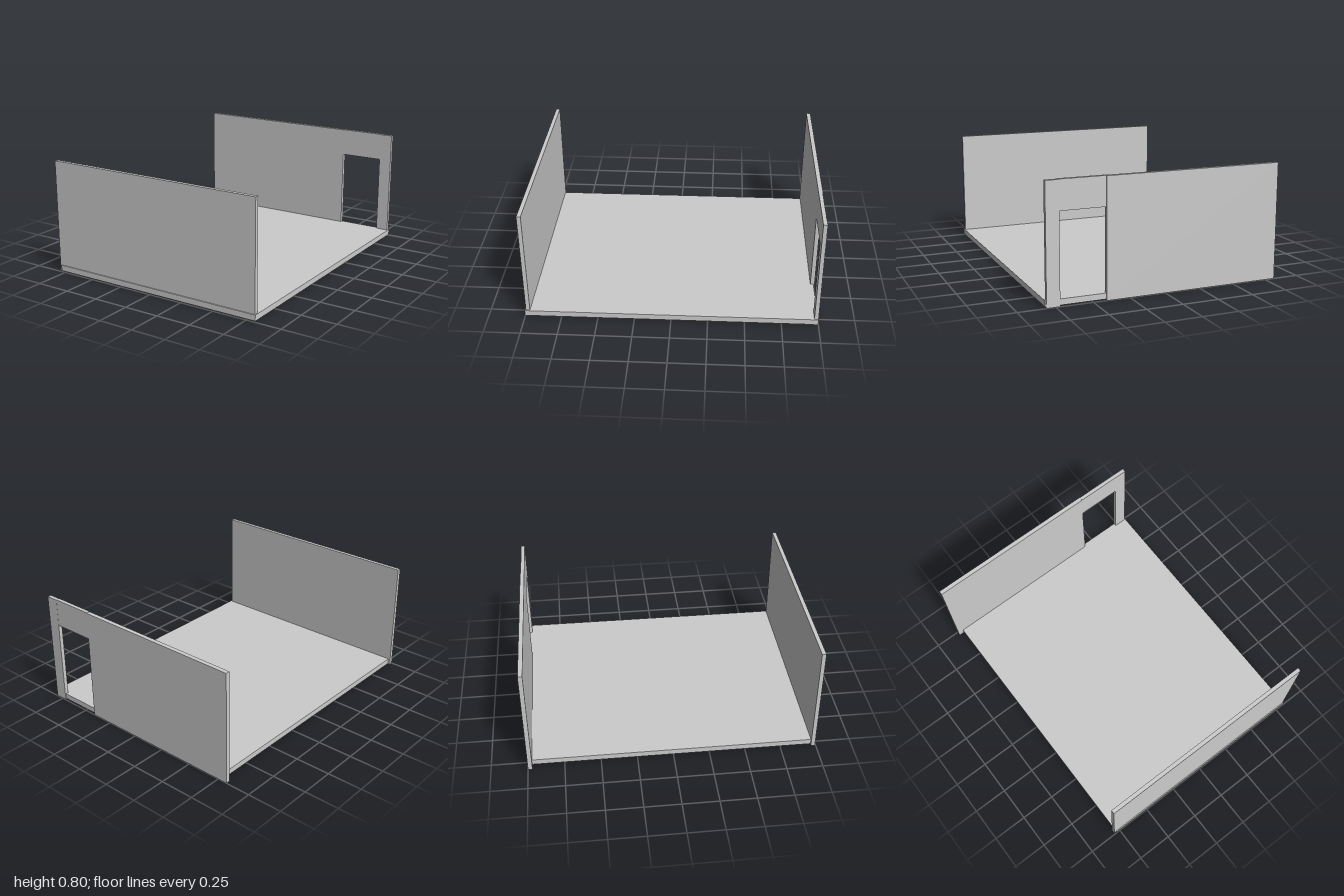
import * as THREE from 'three';

const material = new THREE.MeshStandardMaterial({ color: 0xcccccc, flatShading: true });

// Box given by its minimum and maximum corners
function block(name, [x0, y0, z0], [x1, y1, z1]) {
  const geometry = new THREE.BoxGeometry(x1 - x0, y1 - y0, z1 - z0);
  geometry.translate((x0 + x1) / 2, (y0 + y1) / 2, (z0 + z1) / 2);
  const mesh = new THREE.Mesh(geometry, material);
  mesh.name = name;
  return mesh;
}

export function createModel() {
  const room = new THREE.Group();
  room.name = 'openRoom';

  // Floor slab, its edge just proud of the front wall
  room.add(block('floor', [-0.78, 0.008, -0.992], [0.817, 0.048, 1]));

  // Plain front wall
  room.add(block('frontWall', [-0.795, 0.003, 0.965], [0.81, 0.8, 0.993]));

  // Back wall with a doorway near its +x end
  const doorLeft = 0.72, doorRight = 0.41, doorTop = 0.605;
  const backWall = new THREE.Group();
  backWall.name = 'backWall';
  backWall.add(
    block('mainPanel', [-0.82, 0, -1], [doorRight, 0.8, -0.97]),
    block('doorSidePanel', [doorLeft, 0, -0.998], [0.81, 0.8, -0.97]),
    block('doorHeader', [doorRight, doorTop, -0.997], [doorLeft, 0.802, -0.97]),
  );
  room.add(backWall);
  return room;
}
